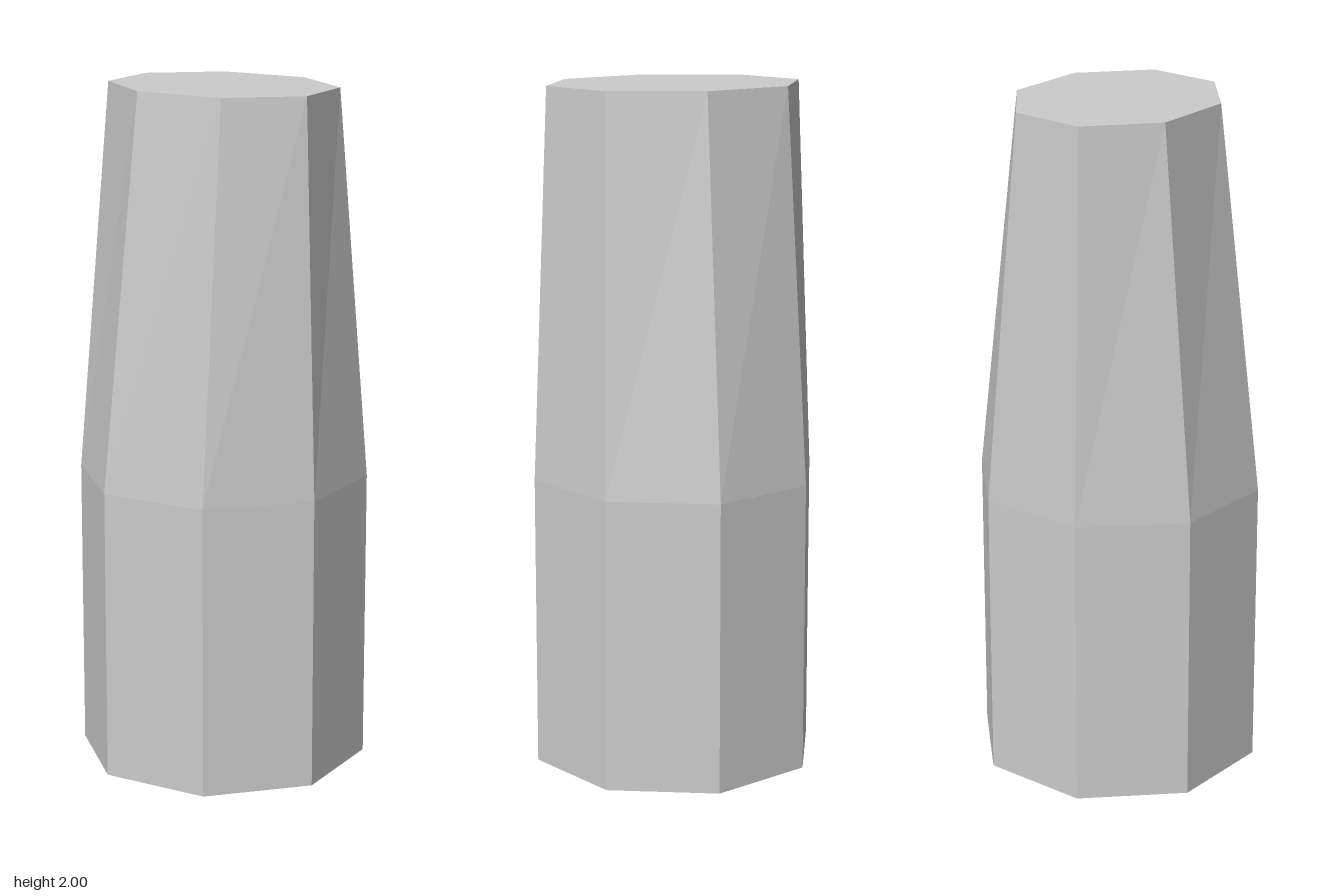
import * as THREE from 'three';

export function createModel() {
  const group = new THREE.Group();
  const material = new THREE.MeshStandardMaterial({ color: 0xcccccc, flatShading: true });

  const radius = 0.427, height = 2, shoulder = 0.86;
  const topX = 0.299, topZ = 0.379; // half width and half depth of the top face

  // Eight-sided column: straight below the shoulder, tapered more in x than in z above it
  const geometry = new THREE.CylinderGeometry(radius, radius, height, 8, 2);
  geometry.translate(0, height / 2, 0);
  const p = geometry.attributes.position;
  for (let i = 0; i < p.count; i++) {
    const y = p.getY(i);
    if (y > 1.5) {
      p.setX(i, p.getX(i) * topX / radius);
      p.setZ(i, p.getZ(i) * topZ / radius);
    } else if (y > 0.5) {
      p.setY(i, shoulder);
    }
  }
  geometry.computeVertexNormals();

  const column = new THREE.Mesh(geometry, material);
  column.name = 'taperedColumn';
  group.add(column);
  return group;
}
